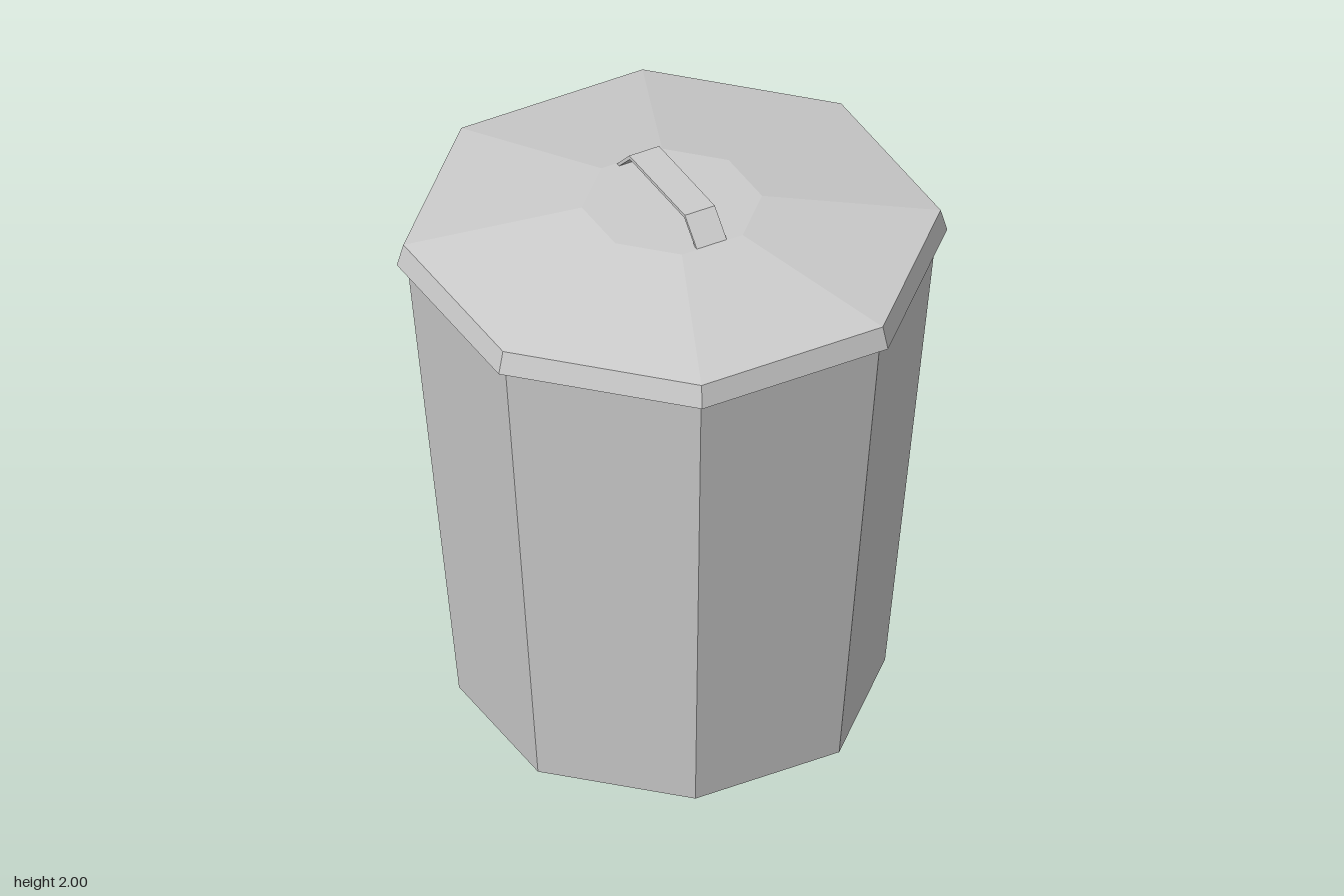
import * as THREE from 'three';

const SIDES = 8;
const TURN = Math.PI / SIDES; // flat sides face the axes

// Eight-sided solid of revolution from [distance to flat side, height] pairs
function octagonal(profile) {
  const points = profile.map(([flat, y]) => new THREE.Vector2(flat / Math.cos(TURN), y));
  const geometry = new THREE.LatheGeometry(points, SIDES, TURN).toNonIndexed();
  geometry.computeVertexNormals();
  return geometry;
}

export function createModel() {
  const model = new THREE.Group();
  model.name = 'dustbin';
  const material = new THREE.MeshStandardMaterial({
    color: 0xcccccc, flatShading: true, side: THREE.DoubleSide,
  });
  const add = (name, geometry) => {
    const mesh = new THREE.Mesh(geometry, material);
    mesh.name = name;
    model.add(mesh);
    return mesh;
  };

  // Tapered body with a closed base
  add('body', octagonal([[0, 0], [0.65, 0], [0.808, 1.73]]));

  // Lid: underside lip, flared rim, sloping roof and flat centre
  add('lid', octagonal([[0.808, 1.73], [0.84, 1.73], [0.82, 1.81], [0.275, 1.915], [0, 1.915]]));

  // Thin strap handle bent over the lid, running front to back
  const outer = [[-0.272, 1.915], [-0.19, 2], [0.19, 2], [0.272, 1.915]];
  const inner = [[0.258, 1.915], [0.185, 1.988], [-0.185, 1.988], [-0.258, 1.915]];
  const strap = new THREE.Shape([...outer, ...inner].map(([x, y]) => new THREE.Vector2(x, y)));
  const width = 0.112;
  const handle = new THREE.ExtrudeGeometry(strap, { depth: width, bevelEnabled: false });
  handle.translate(0, 0, -width / 2);
  handle.rotateY(Math.PI / 2);
  add('handle', handle);

  return model;
}
